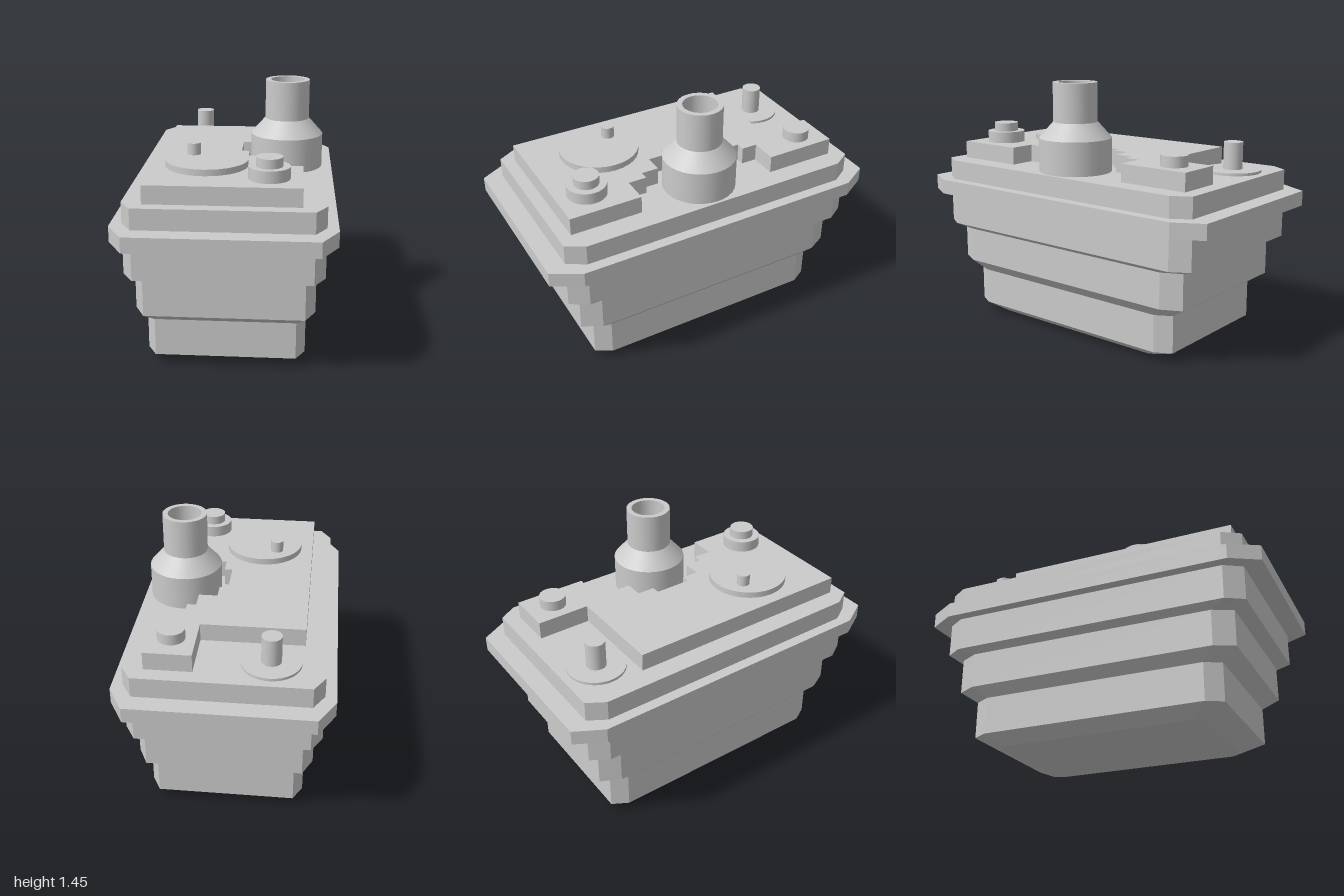
import * as THREE from 'three';

const material = new THREE.MeshStandardMaterial({ color: 0xcccccc });
const flat = new THREE.MeshStandardMaterial({ color: 0xcccccc, flatShading: true });

// Stack of chamfered rectangles: [y, halfX, halfZ, chamferX, chamferZ]
function loft(sections) {
  const rings = sections.map(([y, w, d, cx, cz]) => [
    [w, d - cz], [w, cz - d], [w - cx, -d], [cx - w, -d],
    [-w, cz - d], [-w, d - cz], [cx - w, d], [w - cx, d],
  ].map(([x, z]) => new THREE.Vector3(x, y, z)));
  const points = [];
  const n = 8;
  for (let r = 0; r < rings.length - 1; r++) {
    const a = rings[r], b = rings[r + 1];
    for (let i = 0; i < n; i++) {
      const j = (i + 1) % n;
      points.push(a[i], a[j], b[j], a[i], b[j], b[i]);
    }
  }
  const bottom = rings[0], top = rings[rings.length - 1];
  for (let i = 1; i < n - 1; i++) {
    points.push(bottom[0], bottom[i + 1], bottom[i]);
    points.push(top[0], top[i], top[i + 1]);
  }
  const geometry = new THREE.BufferGeometry().setFromPoints(points);
  geometry.computeVertexNormals();
  return geometry;
}

export function createModel() {
  const model = new THREE.Group();
  model.name = 'steppedTank';

  const add = (name, geometry, mat = material) => {
    const mesh = new THREE.Mesh(geometry, mat);
    mesh.name = name;
    model.add(mesh);
    return mesh;
  };
  const disc = (name, x, z, radius, y0, y1) =>
    add(name, new THREE.CylinderGeometry(radius, radius, y1 - y0, 32)).position.set(x, (y0 + y1) / 2, z);

  // Tapering stepped body with a rim around it
  add('body', loft([
    [0, 0.345, 0.595, 0.03, 0.05],
    [0.06, 0.43, 0.73, 0.05, 0.09],
    [0.27, 0.43, 0.73, 0.05, 0.09],
    [0.33, 0.48, 0.82, 0.055, 0.11],
    [0.53, 0.48, 0.82, 0.055, 0.11],
    [0.56, 0.525, 0.895, 0.06, 0.1],
    [0.75, 0.525, 0.895, 0.06, 0.1],
    [0.75, 0.585, 1, 0.09, 0.16],
    [0.835, 0.585, 1, 0.09, 0.16],
    [0.835, 0.525, 0.895, 0.06, 0.1],
    [0.95, 0.525, 0.895, 0.06, 0.1],
  ]), flat);

  // Top plate with a stepped recess around the spout, outline in x, z
  const outline = [
    [-0.415, 0.825], [0.4, 0.825], [0.4, 0.415], [0.25, 0.415], [0.25, 0.31],
    [0.2, 0.31], [0.2, 0.21], [0.095, 0.21], [0.095, 0.11], [0.05, 0.11],
    [0.05, -0.1], [0.1, -0.1], [0.1, -0.2], [0.205, -0.2], [0.205, -0.31],
    [0.255, -0.31], [0.255, -0.4], [0.41, -0.4], [0.41, -0.81], [0.155, -0.81],
    [0.155, -0.51], [-0.41, -0.51],
  ];
  const shape = new THREE.Shape(outline.map(([x, z]) => new THREE.Vector2(x, -z)));
  const plate = new THREE.ExtrudeGeometry(shape, { depth: 0.1, bevelEnabled: false });
  plate.rotateX(-Math.PI / 2);
  add('topPlate', plate, flat).position.y = 0.95;

  // Hollow spout: each profile segment is lathed apart to keep its edges sharp
  const profile = [
    [0.205, 0.95], [0.205, 1.14], [0.125, 1.23], [0.125, 1.45],
    [0.095, 1.45], [0.095, 1.15], [0, 1.15],
  ].map(([r, y]) => new THREE.Vector2(r, y));
  const spout = new THREE.Group();
  spout.name = 'spout';
  for (let i = 0; i < profile.length - 1; i++) {
    const part = new THREE.Mesh(new THREE.LatheGeometry([profile[i], profile[i + 1]], 32), material);
    part.name = 'spoutSection';
    spout.add(part);
  }
  spout.position.set(0.305, 0, 0.01);
  model.add(spout);

  // Dial, caps and knobs
  disc('dial', -0.12, 0.42, 0.225, 1.05, 1.085);
  disc('dialPin', -0.2, 0.325, 0.037, 1.085, 1.15);
  disc('frontCapBase', 0.225, 0.65, 0.11, 1.05, 1.115);
  disc('frontCapKnob', 0.225, 0.65, 0.07, 1.115, 1.165);
  disc('backKnob', 0.285, -0.655, 0.074, 1.05, 1.11);
  disc('backPostBase', -0.24, -0.69, 0.16, 0.95, 0.965);
  disc('backPost', -0.24, -0.69, 0.054, 0.965, 1.118);

  return model;
}
